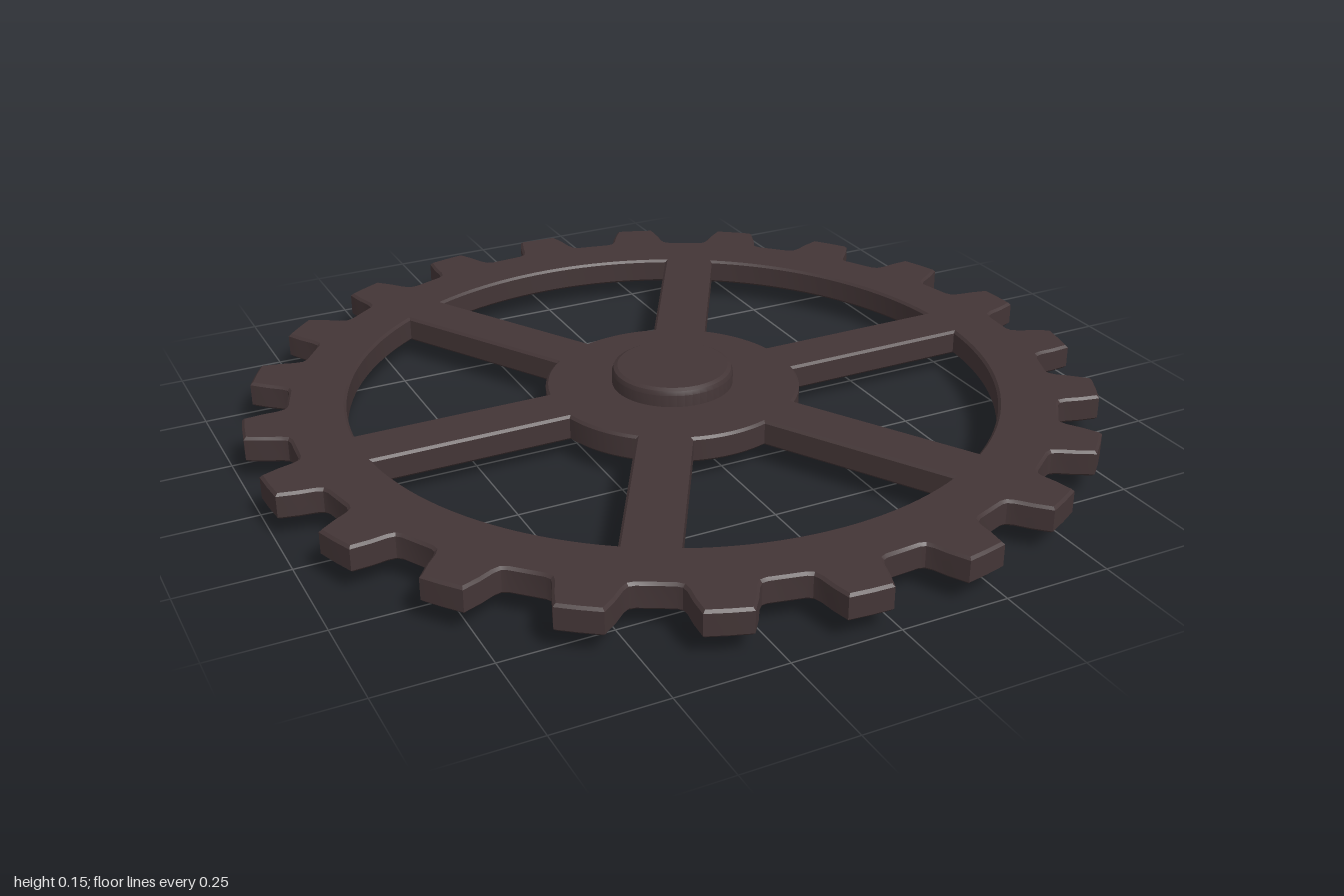
import * as THREE from 'three';
import { toCreasedNormals } from 'three/addons/utils/BufferGeometryUtils.js';

const TEETH = 22, SPOKES = 6;
const TIP = 0.998, ROOT = 0.9;
const RIM_INNER = 0.763, DISC = 0.3, SPOKE_HALF = 0.064;
const PLATE_Y = 0.047, PLATE_H = 0.062, BEVEL = 0.006;

const polar = (r, a) => new THREE.Vector2(r * Math.cos(a), r * Math.sin(a));

function arc(r, a0, a1, n) {
  return Array.from({ length: n + 1 }, (_, i) => polar(r, a0 + ((a1 - a0) * i) / n));
}

// Toothed outline: one half profile [radius, half width], mirrored about each tooth
function gearOutline() {
  const half = [[ROOT, 0.089], [0.905, 0.077], [0.92, 0.07], [0.955, 0.063], [TIP, 0.05]];
  const pitch = (Math.PI * 2) / TEETH;
  const pts = [];
  for (let i = 0; i < TEETH; i++) {
    const a = (i + 0.25) * pitch;
    for (const [r, w] of half) pts.push(polar(r, a - w / r));
    pts.push(polar(TIP, a));
    for (const [r, w] of [...half].reverse()) pts.push(polar(r, a + w / r));
  }
  return new THREE.Shape(pts);
}

// Opening between two straight spokes
function spokeGap(i) {
  const step = (Math.PI * 2) / SPOKES, a = i * step;
  const outer = Math.asin(SPOKE_HALF / RIM_INNER), inner = Math.asin(SPOKE_HALF / DISC);
  return new THREE.Path([
    ...arc(RIM_INNER, a + outer, a + step - outer, 20),
    ...arc(DISC, a + step - inner, a + inner, 10),
  ]);
}

export function createModel() {
  const group = new THREE.Group();
  const iron = new THREE.MeshStandardMaterial({ color: 0x433536 });
  iron.name = 'dark iron';

  // Rim, teeth, spokes and centre disc cut from one bevelled plate
  const shape = gearOutline();
  for (let i = 0; i < SPOKES; i++) shape.holes.push(spokeGap(i));
  const plate = new THREE.ExtrudeGeometry(shape, {
    depth: PLATE_H - 2 * BEVEL,
    bevelEnabled: true,
    bevelThickness: BEVEL,
    bevelSize: BEVEL,
    bevelOffset: -BEVEL,
    bevelSegments: 1,
  });
  plate.rotateX(-Math.PI / 2);
  plate.translate(0, PLATE_Y + BEVEL, 0);
  const wheel = new THREE.Mesh(toCreasedNormals(plate, 0.4), iron);
  wheel.name = 'gearWheel';
  group.add(wheel);

  // Hub boss through the centre with chamfered rims
  const profile = [
    [0, 0], [0.13, 0], [0.139, 0.005], [0.143, 0.015],
    [0.143, 0.137], [0.139, 0.147], [0.13, 0.152], [0, 0.152],
  ].map(([r, y]) => new THREE.Vector2(r, y));
  const hub = new THREE.Mesh(toCreasedNormals(new THREE.LatheGeometry(profile, 48), 0.4), iron);
  hub.name = 'hub';
  group.add(hub);

  return group;
}
